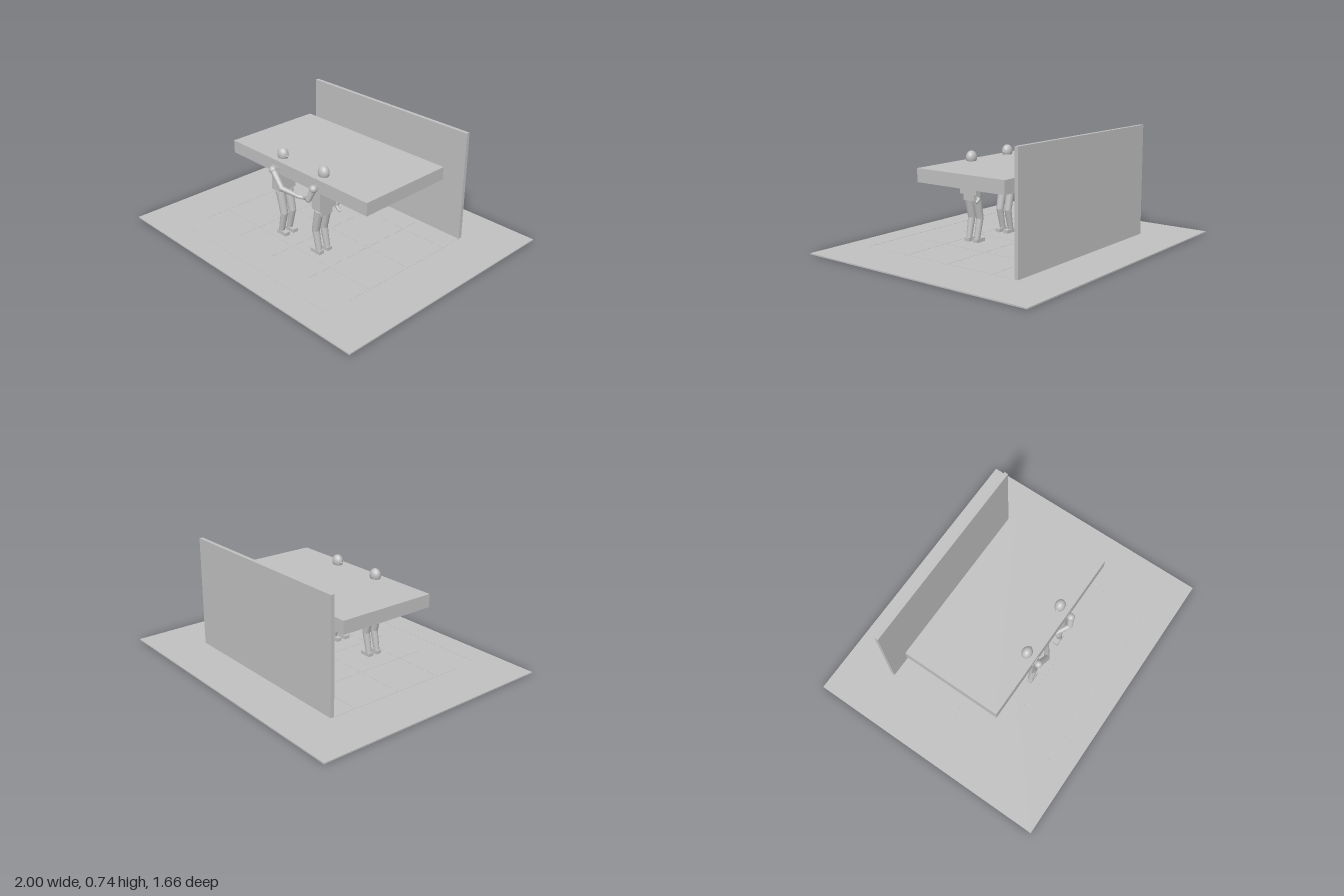
import * as THREE from 'three';

const gray = new THREE.MeshStandardMaterial({ color: 0xc0c0c0 });
gray.name = 'plain gray';

function add(parent, name, geometry, x = 0, y = 0, z = 0) {
  const mesh = new THREE.Mesh(geometry, gray);
  mesh.name = name;
  mesh.position.set(x, y, z);
  parent.add(mesh);
  return mesh;
}

// box given by its lower and upper corners
function block(parent, name, [x0, y0, z0], [x1, y1, z1]) {
  const geometry = new THREE.BoxGeometry(x1 - x0, y1 - y0, z1 - z0);
  return add(parent, name, geometry, (x0 + x1) / 2, (y0 + y1) / 2, (z0 + z1) / 2);
}

// tapered cylinder between two joints
function limb(parent, name, from, to, rFrom, rTo) {
  const a = new THREE.Vector3(...from), b = new THREE.Vector3(...to);
  const dir = b.clone().sub(a);
  const mesh = add(parent, name, new THREE.CylinderGeometry(rTo, rFrom, dir.length(), 20));
  mesh.position.copy(a).add(b).multiplyScalar(0.5);
  mesh.quaternion.setFromUnitVectors(new THREE.Vector3(0, 1, 0), dir.normalize());
  return mesh;
}

function ball(parent, name, [x, y, z], r) {
  return add(parent, name, new THREE.SphereGeometry(r, 20, 14), x, y, z);
}

// shoulder, elbow, wrist and fingertip positions
function arm(parent, name, shoulder, elbow, wrist, tip) {
  const group = new THREE.Group();
  group.name = name;
  ball(group, 'shoulder', shoulder, 0.025);
  limb(group, 'upperArm', shoulder, elbow, 0.021, 0.018);
  ball(group, 'elbow', elbow, 0.018);
  limb(group, 'forearm', elbow, wrist, 0.018, 0.013);
  const hand = limb(group, 'hand', wrist, tip, 0.014, 0.009);
  hand.scale.set(1, 1, 0.8);
  parent.add(group);
}

// jointed dummy; face = 1 looks toward +x, -1 toward -x
function figure(name, cx, cz, face, frontArm) {
  const g = new THREE.Group();
  g.name = name;
  const at = (x, y, z) => [cx + face * x, y, cz + z];

  // head, nose and neck
  ball(g, 'head', at(0, 0.556, 0), 1).scale.set(0.039, 0.044, 0.033);
  const nose = add(g, 'nose', new THREE.ConeGeometry(0.009, 0.02, 8), ...at(0.043, 0.552, 0));
  nose.rotation.z = -face * Math.PI / 2;
  limb(g, 'neck', at(0, 0.48, 0), at(0, 0.535, 0), 0.02, 0.018);

  // torso and pelvis
  add(g, 'torso', new THREE.BoxGeometry(0.072, 0.172, 0.133), ...at(0, 0.409, 0));
  add(g, 'pelvis', new THREE.BoxGeometry(0.06, 0.045, 0.09), ...at(0, 0.305, 0));

  // slightly bent legs with flat feet
  for (const side of [-1, 1]) {
    const leg = new THREE.Group();
    leg.name = side > 0 ? 'frontLeg' : 'rearLeg';
    const z = side * 0.034;
    const hip = at(0.006, 0.31, z), knee = at(0.037, 0.165, z), ankle = at(0.008, 0.03, z);
    limb(leg, 'thigh', hip, knee, 0.029, 0.025);
    ball(leg, 'knee', knee, 0.024);
    limb(leg, 'shin', knee, ankle, 0.024, 0.019);
    add(leg, 'foot', new THREE.BoxGeometry(0.08, 0.024, 0.038), ...at(0.025, 0.02, z));
    g.add(leg);
  }

  // greeting arm in front, free arm bent back on the far side
  arm(g, 'greetingArm', at(0, 0.475, 0.085), ...frontArm);
  arm(g, 'freeArm', at(0, 0.475, -0.085), at(-0.04, 0.395, -0.108),
    at(-0.02, 0.31, -0.085), at(-0.052, 0.28, -0.082));
  return g;
}

export function createModel() {
  const model = new THREE.Group();
  model.name = 'handshakeScene';

  // base plate, upright wall and hovering slab
  block(model, 'ground', [-1, 0, -0.83], [1, 0.008, 0.83]);
  block(model, 'wall', [-0.667, 0.008, -0.515], [0.667, 0.74, -0.49]);
  block(model, 'slab', [-0.6, 0.45, -0.37], [0.6, 0.535, 0.3]);

  // thin floor markings
  for (let i = -2; i <= 2; i++) {
    const x = i / 3;
    block(model, 'floorLine', [x - 0.002, 0.007, -0.49], [x + 0.002, 0.0092, 0.5]);
  }
  for (let i = -1; i <= 2; i++) {
    const z = i / 3;
    block(model, 'floorCrossLine', [-0.667, 0.007, z - 0.002], [0.667, 0.0092, z + 0.002]);
  }

  // two people shaking hands
  model.add(figure('leftFigure', -0.185, 0.238, 1,
    [[-0.096, 0.38, 0.33], [-0.01, 0.338, 0.275], [0.035, 0.332, 0.255]]));
  model.add(figure('rightFigure', 0.181, 0.235, -1,
    [[0.155, 0.4, 0.335], [0.06, 0.348, 0.27], [0.01, 0.33, 0.255]]));
  return model;
}
